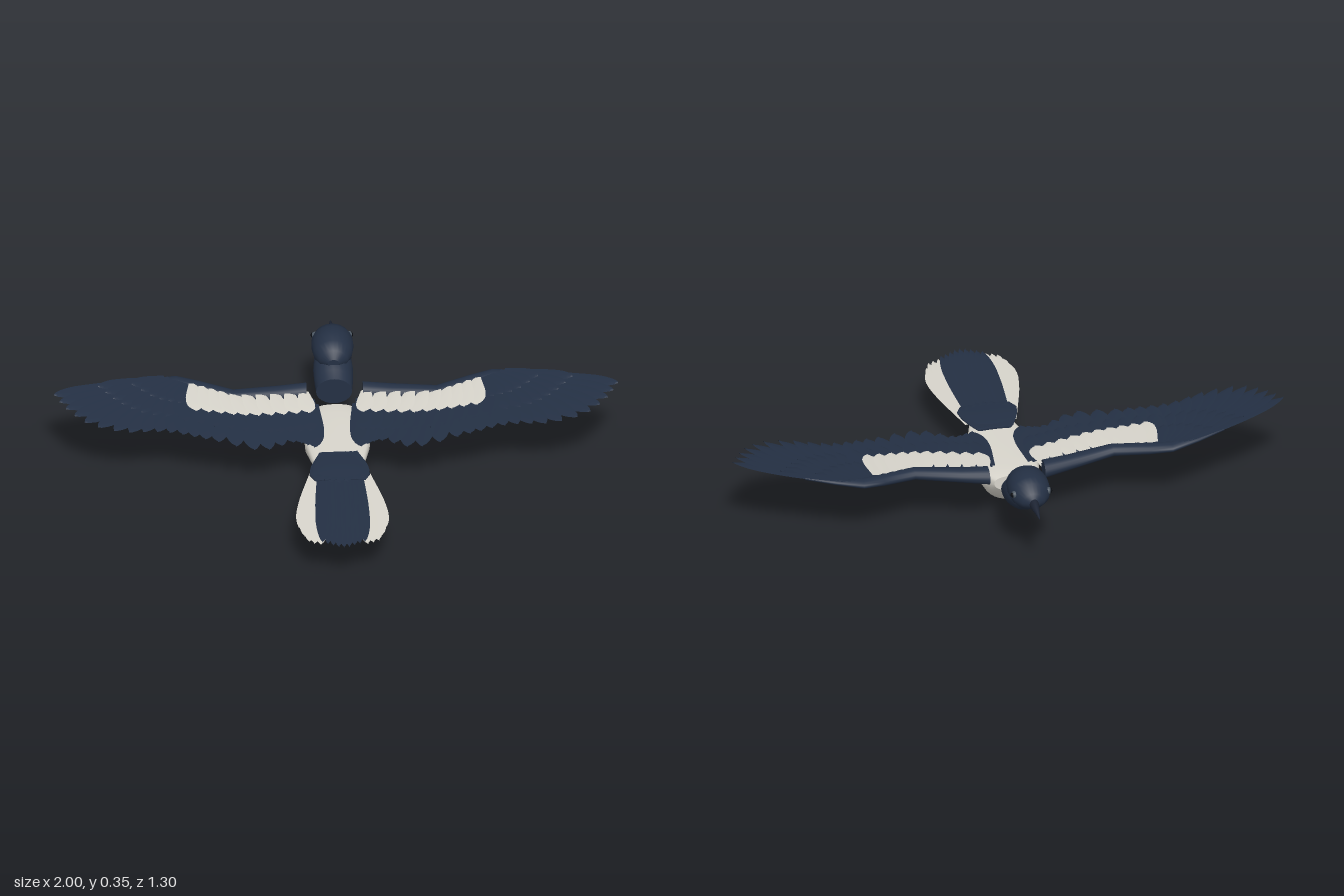
import * as THREE from 'three';
import { mergeGeometries } from 'three/addons/utils/BufferGeometryUtils.js';

const mat = (name, color, side = THREE.FrontSide) => {
  const m = new THREE.MeshStandardMaterial({ color, side });
  m.name = name;
  return m;
};

// Smooth closed tube through rings [along, centreHeight, halfWidth, top, bottom, sideOffset]
// axis 'z': width runs along x; axis 'x': width runs along z
function loft(rings, axis = 'z', squareTop = 1, n = 24) {
  const pos = [], idx = [];
  const put = (a, w, y) => (axis === 'z' ? pos.push(w, y, a) : pos.push(a, y, w));
  rings.forEach(([a, cy, rw, top, bot, off = 0]) => {
    for (let j = 0; j < n; j++) {
      const t = (j / n) * Math.PI * 2, s = Math.sin(t);
      const y = s > 0 ? cy + (top - cy) * Math.pow(s, squareTop) : cy + (cy - bot) * s;
      put(a, off + rw * Math.cos(t), y);
    }
  });
  const rows = rings.length;
  const tri = (a, b, c) => (axis === 'z' ? idx.push(a, b, c) : idx.push(a, c, b));
  for (let i = 0; i < rows - 1; i++)
    for (let j = 0; j < n; j++) {
      const a = i * n + j, b = i * n + (j + 1) % n;
      tri(a, b, a + n);
      tri(b, b + n, a + n);
    }
  // end caps with their own vertices, so the rims stay sharp
  [0, rows - 1].forEach((r) => {
    const base = pos.length / 3;
    const [a, cy, , , , off = 0] = rings[r];
    for (let j = 0; j < n; j++) pos.push(...pos.slice((r * n + j) * 3, (r * n + j) * 3 + 3));
    put(a, off, cy);
    for (let j = 0; j < n; j++) {
      const p = base + j, q = base + (j + 1) % n;
      if (r === 0) tri(q, p, base + n); else tri(p, q, base + n);
    }
  });
  return finish(pos, idx);
}

function finish(pos, idx) {
  const g = new THREE.BufferGeometry();
  g.setAttribute('position', new THREE.Float32BufferAttribute(pos, 3));
  g.setIndex(idx);
  g.computeVertexNormals();
  return g;
}

// One feather: a thin cambered blade lying on the surface y = height(x, z)
function feather(root, tip, width, height, lift, tilt) {
  const pos = [], idx = [], rows = 10;
  const dx = tip.x - root.x, dz = tip.z - root.z, len = Math.hypot(dx, dz);
  for (let i = 0; i <= rows; i++) {
    const t = 1 - Math.pow(1 - i / rows, 1.5);
    const end = t > 0.68 ? Math.pow(Math.max(0, 1 - ((t - 0.68) / 0.32) ** 2), 0.7) : 1;
    const w = (width / 2) * (0.55 + 0.45 * Math.min(1, t / 0.5)) * end;
    for (const s of [-1, 0, 1]) {
      const x = root.x + dx * t + (dz / len) * w * s;
      const z = root.z + dz * t - (dx / len) * w * s;
      pos.push(x, height(x, z) + lift + (s === 0 ? 0.002 : 0) + s * tilt, z);
    }
    if (i < rows) for (let c = 0; c < 2; c++) {
      const a = i * 3 + c;
      idx.push(a, a + 3, a + 1, a + 1, a + 3, a + 4);
    }
  }
  return finish(pos, idx);
}

// A row of feathers; roots and tips are curves through [x, z] points
function featherRow(n, roots, tips, width, height, lift, tilt = 0.002) {
  const curve = (p) => new THREE.CatmullRomCurve3(p.map(([x, z]) => new THREE.Vector3(x, 0, z)));
  const a = curve(roots), b = curve(tips), list = [];
  for (let i = 0; i < n; i++) {
    const t = n > 1 ? i / (n - 1) : 0;
    list.push(feather(a.getPoint(t), b.getPoint(t), width, height, lift, tilt));
  }
  return mergeGeometries(list);
}

function rod(points, radius) {
  const path = new THREE.CatmullRomCurve3(points.map((p) => new THREE.Vector3(...p)));
  return new THREE.TubeGeometry(path, 10, radius, 8);
}

export function createModel() {
  const model = new THREE.Group();
  model.name = 'flyingBird';
  const navy = mat('navyPlumage', 0x243044);
  const navyFeather = mat('navyFeather', 0x243044, THREE.DoubleSide);
  const white = mat('whitePlumage', 0xd8d5cc);
  const whiteFeather = mat('whiteFeather', 0xd8d5cc, THREE.DoubleSide);
  const horn = mat('darkHorn', 0x1d2433);
  const eyeMat = mat('eye', 0x0b0e13);
  const ringMat = mat('eyeRing', 0x4a5560);
  const add = (parent, name, geo, material) => {
    const m = new THREE.Mesh(geo, material);
    m.name = name;
    parent.add(m);
    return m;
  };

  // Body, with a flattened back
  add(model, 'body', loft([
    [0.27, 0.192, 0.02, 0.196, 0.188], [0.2, 0.188, 0.06, 0.2, 0.173],
    [0.09, 0.175, 0.095, 0.2, 0.126], [-0.01, 0.168, 0.115, 0.202, 0.082],
    [-0.12, 0.165, 0.116, 0.202, 0.066], [-0.18, 0.165, 0.104, 0.202, 0.066],
    [-0.215, 0.167, 0.085, 0.2, 0.107], [-0.235, 0.168, 0.07, 0.198, 0.135],
  ].reverse(), 'z', 0.6, 32), white);

  // Neck and head
  add(model, 'neck', loft([
    [-0.505, 0.255, 0.012, 0.265, 0.245], [-0.49, 0.25, 0.045, 0.29, 0.215],
    [-0.45, 0.245, 0.066, 0.3, 0.185], [-0.4, 0.23, 0.071, 0.3, 0.163],
    [-0.35, 0.208, 0.068, 0.268, 0.149], [-0.315, 0.198, 0.064, 0.25, 0.147],
  ]), navy);
  add(model, 'head', loft([
    [-0.568, 0.28, 0.012, 0.292, 0.268], [-0.556, 0.28, 0.04, 0.315, 0.253],
    [-0.53, 0.285, 0.063, 0.342, 0.239], [-0.5, 0.289, 0.073, 0.353, 0.233],
    [-0.46, 0.29, 0.075, 0.357, 0.23], [-0.415, 0.288, 0.068, 0.349, 0.233],
    [-0.382, 0.285, 0.05, 0.327, 0.245], [-0.365, 0.283, 0.02, 0.298, 0.268],
  ]), navy);
  add(model, 'upperBeak', loft([
    [-0.653, 0.27, 0.002, 0.272, 0.268], [-0.62, 0.274, 0.008, 0.284, 0.272],
    [-0.58, 0.276, 0.015, 0.295, 0.274], [-0.54, 0.278, 0.02, 0.303, 0.276],
  ]), horn);
  add(model, 'lowerBeak', loft([
    [-0.642, 0.27, 0.002, 0.271, 0.267], [-0.59, 0.272, 0.012, 0.274, 0.262],
    [-0.54, 0.274, 0.018, 0.276, 0.256],
  ]), horn);
  for (const s of [-1, 1]) {
    const ring = add(model, 'eyeRing', new THREE.SphereGeometry(0.013, 16, 12), ringMat);
    ring.position.set(s * 0.061, 0.3, -0.52);
    const eye = add(model, 'eye', new THREE.SphereGeometry(0.011, 16, 12), eyeMat);
    eye.position.set(s * 0.0645, 0.3, -0.521);
  }

  // Wings: one is built, the other mirrored
  const wingY = (x, z) => 0.222 + 0.05 * x + 0.06 * x * x - 0.05 * (z + 0.2);
  for (const s of [1, -1]) {
    const wing = new THREE.Group();
    wing.name = s > 0 ? 'leftWing' : 'rightWing';
    wing.scale.x = s;
    model.add(wing);
    const arm = [[0.1, -0.268, 0.036, 0.032], [0.2, -0.253, 0.033, 0.025], [0.36, -0.226, 0.028, 0.02],
      [0.48, -0.267, 0.028, 0.018], [0.56, -0.289, 0.028, 0.015], [0.66, -0.268, 0.023, 0.011], [0.76, -0.247, 0.01, 0.006]];
    add(wing, 'wingArm', loft(arm.map(([x, z, rw, rh]) => {
      const y = wingY(x, z);
      return [x, y, rw, y + rh, y - rh, z];
    }), 'x', 1, 16), navy);
    add(wing, 'primaries', featherRow(12, [[0.52, -0.24], [0.58, -0.26], [0.64, -0.275]],
      [[0.55, 0.015], [0.65, 0.015], [0.76, 0.033], [0.88, 0.01], [0.955, -0.06], [1.0, -0.14]], 0.066, wingY, 0), navyFeather);
    add(wing, 'secondaries', featherRow(12, [[0.08, -0.2], [0.3, -0.2], [0.52, -0.24]],
      [[0.085, 0.055], [0.15, 0.03], [0.27, 0.085], [0.44, 0.045], [0.55, 0.02]], 0.074, wingY, 0), navyFeather);
    add(wing, 'greaterCoverts', featherRow(11, [[0.09, -0.22], [0.3, -0.2], [0.54, -0.26]],
      [[0.1, -0.03], [0.28, -0.01], [0.54, -0.05]], 0.062, wingY, 0.007), navyFeather);
    add(wing, 'primaryCoverts', featherRow(9, [[0.53, -0.265], [0.62, -0.28]],
      [[0.56, -0.07], [0.68, -0.08], [0.77, -0.13], [0.84, -0.21]], 0.055, wingY, 0.007), navyFeather);
    add(wing, 'outerLesserCoverts', featherRow(6, [[0.52, -0.275], [0.6, -0.285]],
      [[0.56, -0.15], [0.64, -0.17], [0.72, -0.235]], 0.055, wingY, 0.012), navyFeather);
    add(wing, 'whiteWingBand', featherRow(10, [[0.11, -0.25], [0.34, -0.22], [0.5, -0.26]],
      [[0.1, -0.125], [0.3, -0.095], [0.5, -0.105]], 0.062, wingY, 0.015), whiteFeather);
    add(wing, 'whiteUnderwing', featherRow(15, [[0.12, -0.25], [0.34, -0.22], [0.54, -0.28], [0.6, -0.275]],
      [[0.12, -0.09], [0.36, -0.07], [0.58, -0.13], [0.7, -0.21]], 0.062, wingY, -0.009), whiteFeather);
  }

  // Tail: dark middle fan over white outer feathers, capped by coverts
  const tailY = (x, z) => 0.197 - 0.03 * (z - 0.15);
  for (const s of [1, -1])
    add(model, 'outerTailFeathers', featherRow(5, [[s * 0.05, 0.14], [s * 0.075, 0.14]],
      [[s * 0.085, 0.61], [s * 0.125, 0.59], [s * 0.15, 0.52]], 0.066, tailY, -0.008, 0.0025 * s), whiteFeather);
  add(model, 'middleTailFeathers', featherRow(9, [[-0.06, 0.12], [0, 0.12], [0.06, 0.12]],
    [[-0.075, 0.612], [0, 0.645], [0.075, 0.612]], 0.052, tailY, 0.003), navyFeather);
  add(model, 'lowerTailCoverts', featherRow(7, [[-0.05, 0.08], [0.05, 0.08]],
    [[-0.085, 0.235], [0, 0.26], [0.085, 0.235]], 0.062, tailY, 0.008), navyFeather);
  add(model, 'upperTailCoverts', loft([
    [0.075, 0.2, 0.06, 0.206, 0.196], [0.11, 0.201, 0.08, 0.21, 0.196], [0.16, 0.2, 0.1, 0.21, 0.195],
    [0.21, 0.199, 0.108, 0.207, 0.195], [0.245, 0.198, 0.09, 0.203, 0.195],
  ], 'z', 0.7), navy);

  // Legs trailing backwards, with three toes ahead and one behind
  for (const s of [-1, 1]) {
    const leg = new THREE.Group();
    leg.name = s > 0 ? 'leftLeg' : 'rightLeg';
    leg.position.x = s * 0.05;
    model.add(leg);
    const thigh = add(leg, 'thigh', new THREE.SphereGeometry(1, 20, 14), white);
    thigh.scale.set(0.026, 0.023, 0.042);
    thigh.position.set(0, 0.089, -0.02);
    add(leg, 'shank', rod([[0, 0.088, 0.01], [0, 0.068, 0.085], [0, 0.034, 0.14]], 0.006), horn);
    for (const x of [-0.028, 0, 0.028])
      add(leg, 'toe', rod([[0, 0.037, 0.136], [x * 0.7, 0.028, 0.138], [x, 0.005, 0.14 + Math.abs(x) * 0.1]], 0.0038), horn);
    add(leg, 'hindToe', rod([[0, 0.037, 0.136], [0, 0.03, 0.125], [0, 0.016, 0.122]], 0.0038), horn);
  }
  return model;
}
